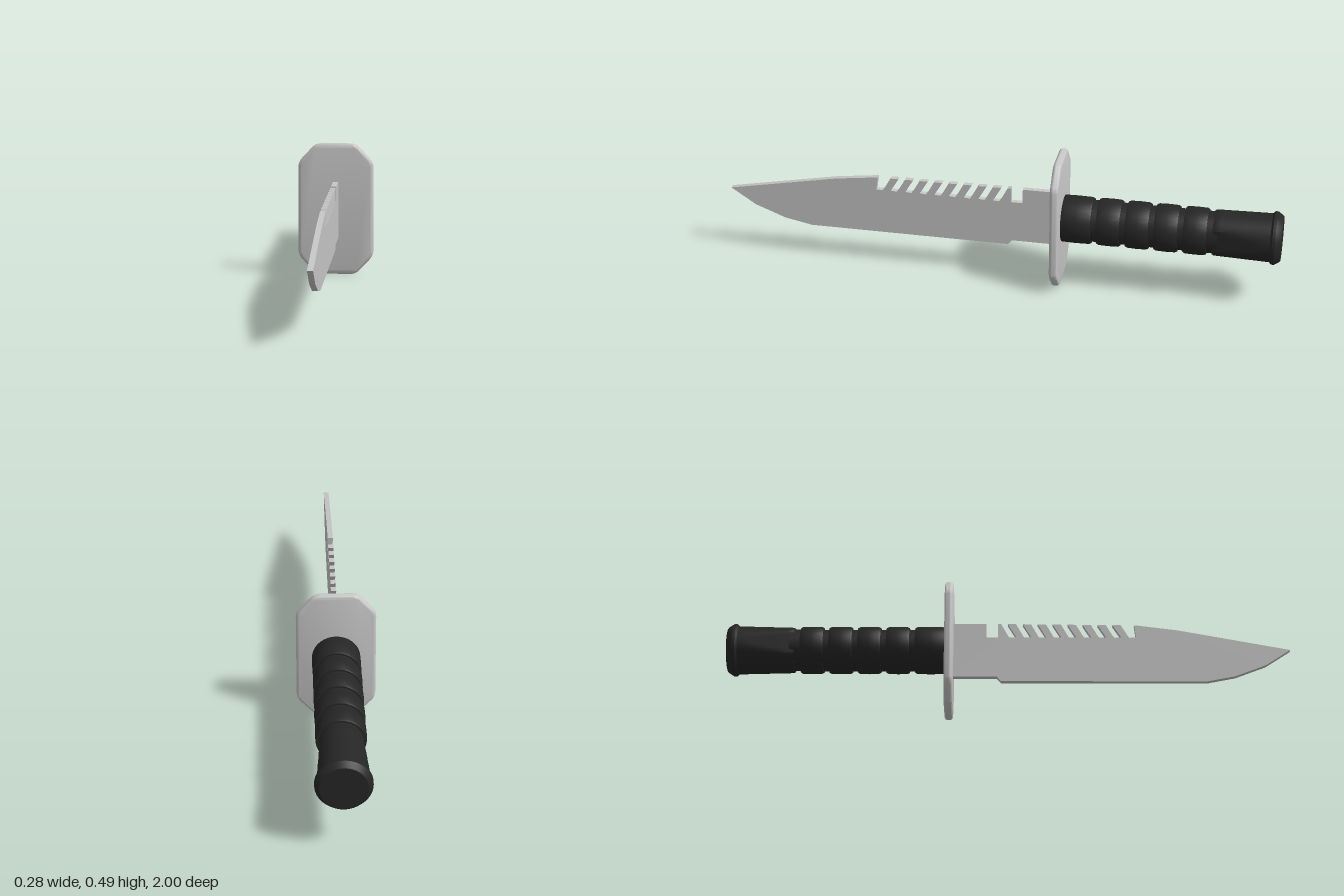
import * as THREE from 'three';
import { toCreasedNormals } from 'three/addons/utils/BufferGeometryUtils.js';

const AXIS_Y = 0.243;

export function createModel() {
  const model = new THREE.Group();
  model.name = 'combatKnife';
  const steel = new THREE.MeshStandardMaterial({ name: 'steel', color: 0xc6c6c6 });
  const grip = new THREE.MeshStandardMaterial({ name: 'blackGrip', color: 0x262626 });

  function add(name, geometry, material) {
    const mesh = new THREE.Mesh(geometry, material);
    mesh.name = name;
    model.add(mesh);
    return mesh;
  }

  // Blade: side outline in (z, y), with slanted saw notches along the spine
  const outline = [
    [-0.21, 0.137], [-0.045, 0.137], [-0.03, 0.12], [0.7, 0.12], [0.8, 0.14],
    [0.91, 0.183], [1, 0.243], [0.6, 0.32], [0.446, 0.34],
  ];
  for (let i = 0; i < 9; i++) {
    const z = 0.452 - i * 0.0535;
    const top = 0.34 + i * 0.0005;
    if (i > 0) outline.push([z - 0.03, top]);
    outline.push([z, 0.292], [z - 0.022, 0.29], [z - 0.027, 0.293], [z - 0.054, top]);
  }
  outline.push([-0.041, 0.345], [-0.041, 0.291], [-0.083, 0.291], [-0.083, 0.345], [-0.21, 0.345]);
  const bladeGeometry = new THREE.ExtrudeGeometry(
    new THREE.Shape(outline.map(([z, y]) => new THREE.Vector2(z, y))),
    { depth: 0.019, bevelEnabled: false },
  );
  bladeGeometry.translate(0, 0, -0.0095).rotateY(-Math.PI / 2);
  add('blade', bladeGeometry, steel);

  // Guard: octagonal plate with softened corners and a rounded rim
  const rim = 0.012;
  const w = 0.138 - rim, h = 0.2425 - rim, cx = 0.068, cy = 0.168;
  const corners = [
    [w, -cy], [w, cy], [cx, h], [-cx, h], [-w, cy], [-w, -cy], [-cx, -h], [cx, -h],
  ].map(([x, y]) => new THREE.Vector2(x, y));
  const plate = new THREE.Shape();
  corners.forEach((c, i) => {
    const before = corners[(i + 7) % 8], after = corners[(i + 1) % 8];
    const a = c.clone().add(before.clone().sub(c).setLength(0.016));
    const b = c.clone().add(after.clone().sub(c).setLength(0.016));
    if (i === 0) plate.moveTo(a.x, a.y); else plate.lineTo(a.x, a.y);
    plate.quadraticCurveTo(c.x, c.y, b.x, b.y);
  });
  plate.closePath();
  const guardGeometry = new THREE.ExtrudeGeometry(plate, {
    depth: 0.006, bevelThickness: rim, bevelSize: rim, bevelSegments: 4, curveSegments: 5,
  });
  add('guard', toCreasedNormals(guardGeometry, 0.7), steel).position.set(0, AXIS_Y, -0.218);

  // Turned parts: profile of [radius, distance behind the centre]
  function turned(profile, reshape) {
    const geometry = new THREE.LatheGeometry(profile.map(([r, d]) => new THREE.Vector2(r, d)), 48);
    if (reshape) reshape(geometry.attributes.position);
    geometry.rotateX(-Math.PI / 2).translate(0, AXIS_Y, 0);
    return toCreasedNormals(geometry, 0.5);
  }

  // Core seen in the grooves between the rings
  add('gripCore', turned([[0.074, 0.22], [0.074, 0.78]]), grip);

  // Grip rings with eased edges
  const rings = [[0.225, 0.335], [0.355, 0.437], [0.457, 0.538], [0.558, 0.64], [0.66, 0.741]];
  for (const [a, b] of rings) {
    add('gripRing', turned([
      [0.06, a], [0.08, a], [0.0835, a + 0.007], [0.0845, (a + b) / 2],
      [0.0835, b - 0.007], [0.08, b], [0.06, b],
    ]), grip);
  }

  // Rear grip with a flat cut into each side, opening out toward the pommel
  const rear = [[0.05, 0.762], [0.078, 0.762]];
  for (let i = 0; i <= 10; i++) rear.push([0.081 + i * 0.0005, 0.768 + i * 0.0202]);
  add('rearGrip', turned(rear, (p) => {
    for (let i = 0; i < p.count; i++) {
      const limit = 0.068 + 0.018 * (p.getY(i) - 0.762) / 0.2;
      p.setX(i, THREE.MathUtils.clamp(p.getX(i), -limit, limit));
    }
  }), grip);

  // Pommel cap
  add('pommel', turned([
    [0.07, 0.962], [0.086, 0.962], [0.0935, 0.969], [0.0935, 0.979],
    [0.081, 0.998], [0.078, 1], [0, 1],
  ]), grip);

  return model;
}
